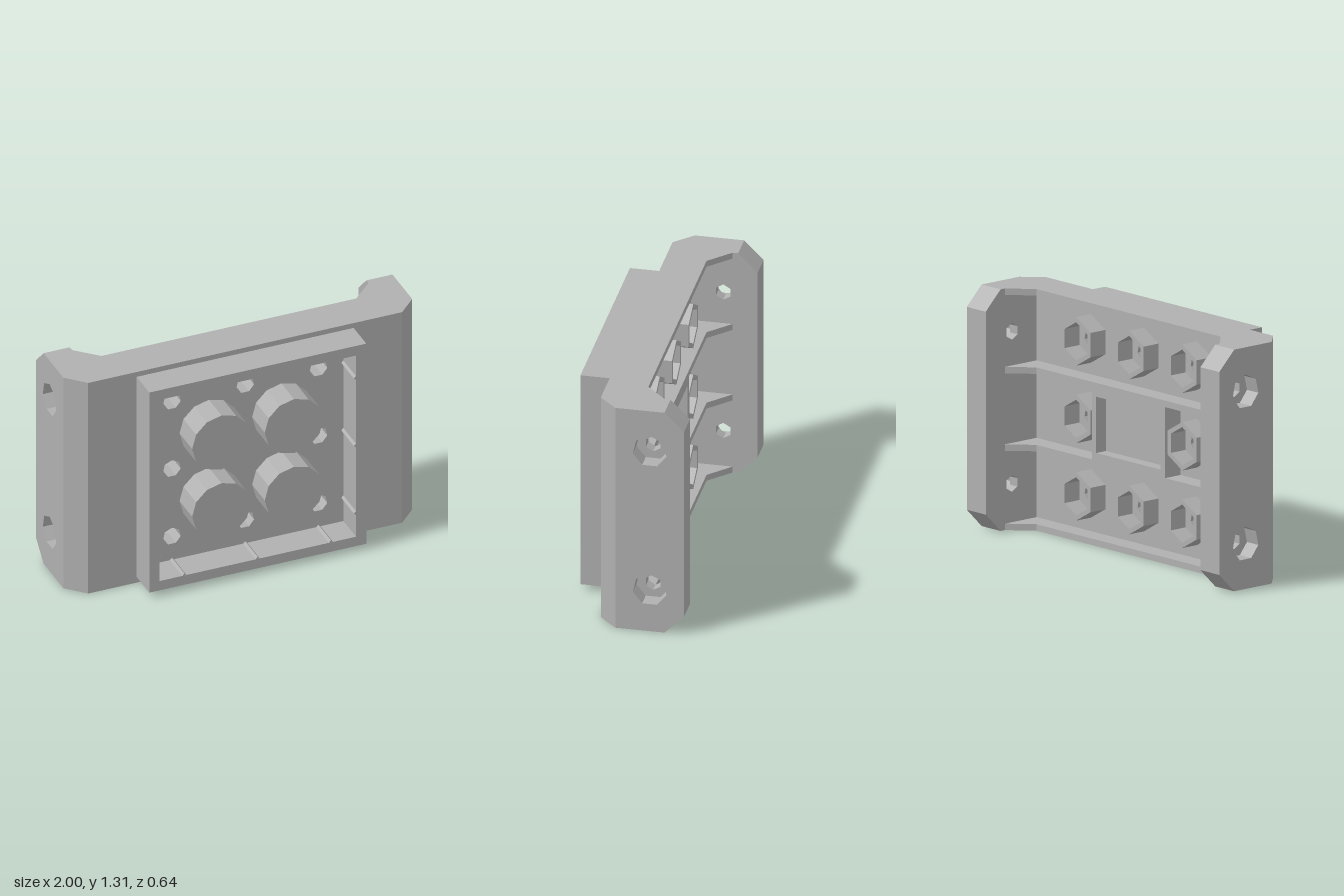
import * as THREE from 'three';

const H = 1.31;            // overall height
const FLOOR = 0.04;        // back face of the plate
const FRONT = 0.15;        // front face of the plate
const BACK = -0.07;        // back edge of the ribs
const COLS = [-0.42, 0, 0.42];
const ROWS = [0.24, 0.66, 1.08];

const points = (list) => list.map(([x, y]) => new THREE.Vector2(x, y));
const rect = (x0, y0, x1, y1) => points([[x0, y0], [x1, y0], [x1, y1], [x0, y1]]);

// Regular polygon outline, first corner pointing up
function polygon(cx, cy, r, sides) {
  const out = [];
  for (let i = 0; i < sides; i++) {
    const a = Math.PI / 2 + (i / sides) * Math.PI * 2;
    out.push(new THREE.Vector2(cx + r * Math.cos(a), cy + r * Math.sin(a)));
  }
  return out;
}

function extrude(outline, holes, depth) {
  const shape = new THREE.Shape(outline);
  for (const h of holes) shape.holes.push(new THREE.Path(h));
  return new THREE.ExtrudeGeometry(shape, { depth, bevelEnabled: false });
}

// Extrusions along each axis, placed between two coordinates
const alongZ = (outline, holes, z0, z1) => extrude(outline, holes, z1 - z0).translate(0, 0, z0);
const alongY = (xz, y0, y1) =>
  extrude(points(xz.map(([x, z]) => [x, -z])), [], y1 - y0).rotateX(-Math.PI / 2).translate(0, y0, 0);
const alongX = (outline, holes, x0, x1) =>
  extrude(outline, holes, x1 - x0).rotateY(Math.PI / 2).translate(x0, 0, 0);

export function createModel() {
  const model = new THREE.Group();
  model.name = 'mountingBracket';
  const grey = new THREE.MeshStandardMaterial({ color: 0xb0b0b0 });
  grey.name = 'grey plastic';
  const add = (name, geometry) => {
    const mesh = new THREE.Mesh(geometry, grey);
    mesh.name = name;
    model.add(mesh);
    return mesh;
  };

  // Screw positions: a 3 x 3 grid without its centre
  const screws = [];
  for (const x of COLS) for (const y of ROWS) if (x !== 0 || y !== 0.66) screws.push([x, y]);

  // Main plate with screw holes
  add('plate', alongZ(rect(-0.85, 0, 0.85, H), screws.map(([x, y]) => polygon(x, y, 0.052, 7)), FLOOR, FRONT));

  // Hexagonal nut pockets on the back
  for (const [x, y] of screws) {
    add('nutPocket', alongZ(polygon(x, y, 0.132, 6), [polygon(x, y, 0.104, 6)], BACK + 0.005, FLOOR));
  }

  // Horizontal ribs with gusseted ends
  const rib = [[-0.85, FLOOR], [0.85, FLOOR], [0.85, -0.185], [0.73, BACK], [-0.73, BACK], [-0.85, -0.185]];
  for (const y of [0, 0.43, 0.85, H - 0.035]) add('rib', alongY(rib, y, y + 0.035));

  // Rectangular recess between the middle ribs
  const window = rect(-0.255, 0.505, 0.255, 0.81);
  add('recessRim', alongZ(rect(-0.29, 0.464, 0.29, 0.851), [window], BACK, FLOOR));
  add('recessFloor', alongZ(window, [], 0, FLOOR));

  // End arms: chamfered side profile (-z, y), with stepped bolt holes
  const arm = points([[-0.05, 0], [0.215, 0], [0.32, 0.105], [0.32, H - 0.105], [0.215, H], [-0.05, H]]);
  const bolts = (r, sides) => [0.245, 1.07].map((y) => polygon(0.135, y, r, sides));
  const corner = [[0.85, 0.05], [0.85, FRONT], [0.9, FRONT], [1, 0.05]];
  for (const s of [1, -1]) {
    const slice = (name, holes, a, b) =>
      add(name, alongX(arm, holes, Math.min(s * a, s * b), Math.max(s * a, s * b)));
    slice('armInner', bolts(0.045, 6), 0.85, 0.91);
    slice('armOuter', bolts(0.093, 7), 0.91, 1);
    add('armFrontCorner', alongY(corner.map(([x, z]) => [s * x, z]), 0, H));
  }

  // Raised square frame on the front
  add('frontFrame', alongZ(rect(-0.622, 0.035, 0.622, 1.28), [rect(-0.563, 0.093, 0.563, 1.22)], FRONT, 0.32));

  // Small grip ridges along the inside of the frame
  const ridge = (x, y) => add('gripRidge', alongZ(polygon(x, y, 0.012, 4), [], FRONT, 0.319));
  for (const x of COLS) for (const y of [0.093, 1.22]) ridge(x, y);
  for (const y of ROWS) for (const x of [-0.563, 0.563]) ridge(x, y);

  // Four round posts inside the frame
  for (const x of [-0.208, 0.208]) {
    for (const y of [0.447, 0.868]) add('post', alongZ(polygon(x, y, 0.168, 12), [], FRONT, 0.32));
  }

  return model;
}
